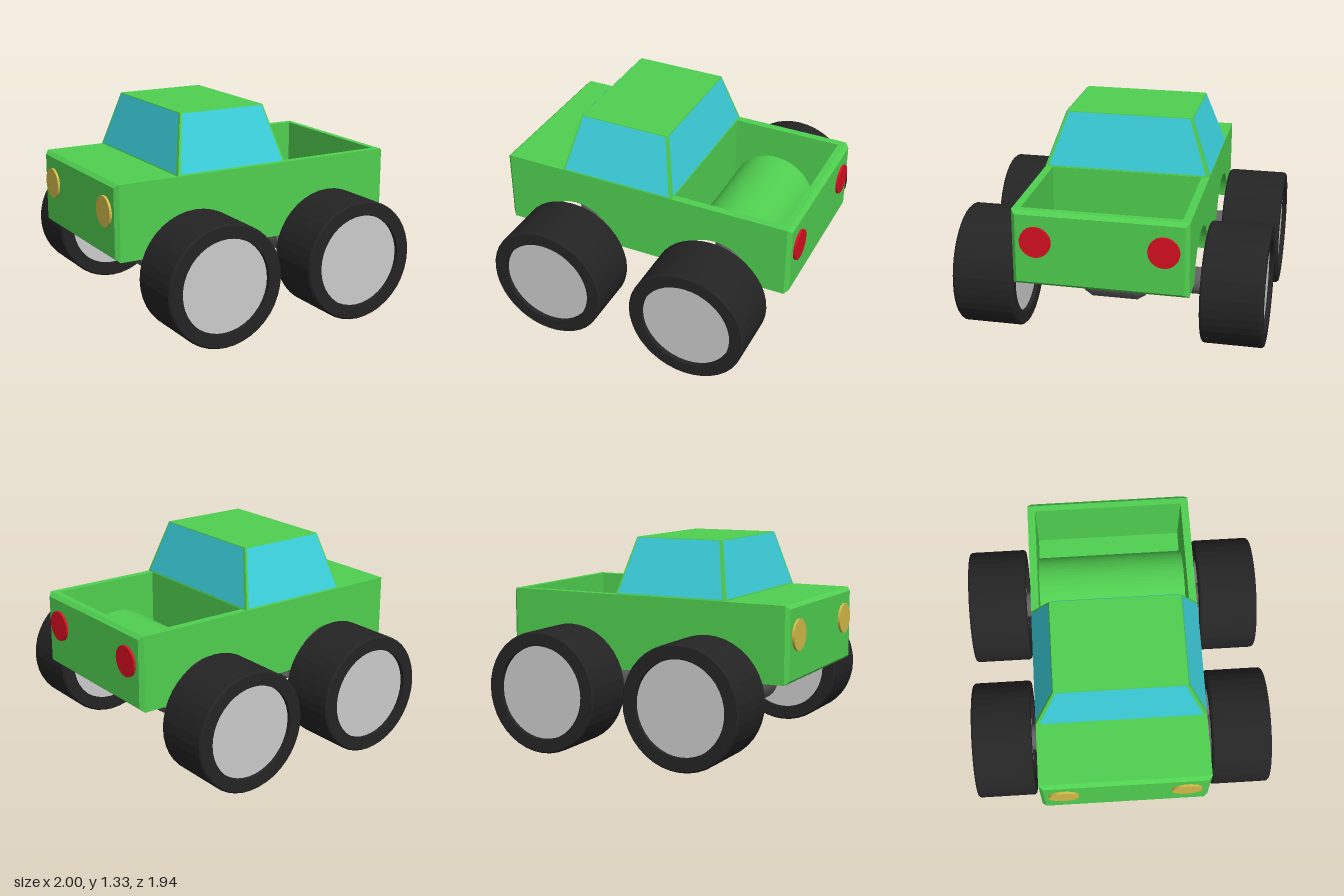
import * as THREE from 'three';

const mat = (color, extra = {}) => new THREE.MeshStandardMaterial({ color, ...extra });
const paint = mat(0x50d050);
const rubber = mat(0x242424, { flatShading: true });
const metal = mat(0x606060);
const hubGrey = mat(0xcccccc);
const glass = mat(0x3bd0dc, { side: THREE.DoubleSide });
const red = mat(0xd80f20);
const yellow = mat(0xd4bc4a);

const AXLES = [-0.48, 0.49];
const AXLE_Y = 0.385;
const ARCH_Y = 0.47;
const ARCH_R = 0.27;
const BOTTOM = 0.49;
const TOP = 0.97;

function add(parent, name, geometry, material, x = 0, y = 0, z = 0) {
  const mesh = new THREE.Mesh(geometry, material);
  mesh.name = name;
  mesh.position.set(x, y, z);
  parent.add(mesh);
  return mesh;
}

// Box whose top face is scaled to topW x topD
function taperedBox(w, h, d, topW, topD) {
  const g = new THREE.BoxGeometry(w, h, d);
  const p = g.attributes.position;
  for (let i = 0; i < p.count; i++) {
    if (p.getY(i) > 0) p.setXYZ(i, p.getX(i) * topW / w, p.getY(i), p.getZ(i) * topD / d);
  }
  g.computeVertexNormals();
  return g;
}

// Arc over a centre from angle a to b, as shape points
function arc(shape, cx, r, a, b) {
  for (let i = 0; i <= 32; i++) {
    const t = a + (b - a) * i / 32;
    shape.lineTo(cx + r * Math.cos(t), ARCH_Y + r * Math.sin(t));
  }
}

// Side profile of the body: arches below, and the bed hollow above if wanted
function bodyProfile(withBed) {
  const s = new THREE.Shape();
  const low = Math.asin((BOTTOM - ARCH_Y) / ARCH_R);
  s.moveTo(-0.96, BOTTOM);
  for (const x of AXLES) arc(s, x, ARCH_R, Math.PI - low, low);
  s.lineTo(0.96, BOTTOM);
  s.lineTo(0.96, TOP);
  if (withBed) {
    const r = 0.285, floor = 0.52, a = Math.asin((floor - ARCH_Y) / r);
    s.lineTo(0.92, TOP);
    s.lineTo(0.92, floor);
    arc(s, AXLES[1], r, a, Math.PI - a);
    s.lineTo(0.2, floor);
    s.lineTo(0.2, TOP);
  }
  s.lineTo(-0.96, TOP);
  return s;
}

function slab(shape, z0, z1) {
  return new THREE.ExtrudeGeometry(shape, { depth: z1 - z0, bevelEnabled: false }).translate(0, 0, z0);
}

function makeBody() {
  const body = new THREE.Group();
  body.name = 'body';
  add(body, 'hoodAndBed', slab(bodyProfile(true), -0.49, 0.49), paint);
  add(body, 'leftSidePanel', slab(bodyProfile(false), 0.49, 0.54), paint);
  add(body, 'rightSidePanel', slab(bodyProfile(false), -0.54, -0.49), paint);
  // Chamfered ends
  for (const s of [-1, 1]) {
    const end = add(body, s < 0 ? 'nosePanel' : 'tailgatePanel',
      taperedBox(0.48, 0.025, 1.08, 0.435, 1.03), paint, s * 0.9725, 0.73, 0);
    end.rotation.z = -s * Math.PI / 2;
  }
  return body;
}

function makeCab() {
  const cab = new THREE.Group();
  cab.name = 'cab';
  cab.position.set(-0.185, TOP, 0);
  const h = 0.36, bw = 0.765, bd = 1.08, tw = 0.59, td = 0.82;
  add(cab, 'cabShell', taperedBox(bw, h, bd, tw, td), paint, 0, h / 2, 0);

  // Four windows, just proud of the sloping sides
  const corner = (w, d, y, i) => new THREE.Vector3(
    (i === 0 || i === 3 ? -1 : 1) * w / 2, y, (i < 2 ? 1 : -1) * d / 2);
  const names = ['leftWindow', 'rearWindow', 'rightWindow', 'windscreen'];
  names.forEach((name, i) => {
    const j = (i + 1) % 4;
    const b0 = corner(bw, bd, 0, i), b1 = corner(bw, bd, 0, j);
    const t0 = corner(tw, td, h, i), t1 = corner(tw, td, h, j);
    const normal = b1.clone().sub(b0).cross(t0.clone().sub(b0)).normalize();
    const at = (u, v) => b0.clone().lerp(b1, u).lerp(t0.clone().lerp(t1, u), v).addScaledVector(normal, 0.004);
    const g = new THREE.BufferGeometry().setFromPoints(
      [at(0.02, 0.025), at(0.98, 0.025), at(0.98, 0.985), at(0.02, 0.985)]);
    g.setIndex([0, 1, 2, 0, 2, 3]);
    g.computeVertexNormals();
    add(cab, name, g, glass);
  });
  return cab;
}

function makeWheel(name) {
  const wheel = new THREE.Group();
  wheel.name = name;
  const w = 0.1925;
  const ring = [[0.295, -w], [0.375, -w], [0.385, -w + 0.012], [0.385, w - 0.012], [0.375, w], [0.295, w], [0.295, -w]];
  add(wheel, 'tyre', new THREE.LatheGeometry(ring.map(p => new THREE.Vector2(...p)), 40), rubber);
  add(wheel, 'hub', new THREE.CylinderGeometry(0.296, 0.296, 0.33, 40), hubGrey);
  wheel.rotation.x = Math.PI / 2;
  return wheel;
}

function makeAxle(name) {
  const axle = new THREE.Group();
  axle.name = name;
  add(axle, 'shaft', new THREE.CylinderGeometry(0.085, 0.085, 1.22, 28), metal).rotation.x = Math.PI / 2;
  const profile = [[0, -0.195], [0.125, -0.195], [0.125, -0.195], [0.155, -0.145], [0.155, -0.145],
    [0.155, 0.145], [0.155, 0.145], [0.125, 0.195], [0.125, 0.195], [0, 0.195]];
  add(axle, 'differential', new THREE.LatheGeometry(profile.map(p => new THREE.Vector2(...p)), 28), metal)
    .rotation.x = Math.PI / 2;
  for (const s of [-1, 1]) {
    // Strut reaching up into the wheel arch
    add(axle, s > 0 ? 'leftStrut' : 'rightStrut',
      new THREE.CylinderGeometry(0.05, 0.05, 0.36, 24), metal, 0, 0.18, s * 0.39);
    const wheel = makeWheel(s > 0 ? 'leftWheel' : 'rightWheel');
    wheel.position.z = s * 0.7775;
    axle.add(wheel);
  }
  return axle;
}

export function createModel() {
  const truck = new THREE.Group();
  truck.name = 'pickupTruck';
  truck.add(makeBody(), makeCab());

  AXLES.forEach((x, i) => {
    const axle = makeAxle(i ? 'rearAxle' : 'frontAxle');
    axle.position.set(x, AXLE_Y, 0);
    truck.add(axle);
  });

  // Head and tail lights
  for (const end of [-1, 1]) for (const side of [-1, 1]) {
    const lamp = add(truck, end < 0 ? 'headlight' : 'tailLight',
      new THREE.CylinderGeometry(0.097, 0.097, 0.05, 32), end < 0 ? yellow : red, end * 0.975, 0.78, side * 0.39);
    lamp.rotation.z = Math.PI / 2;
  }
  return truck;
}
